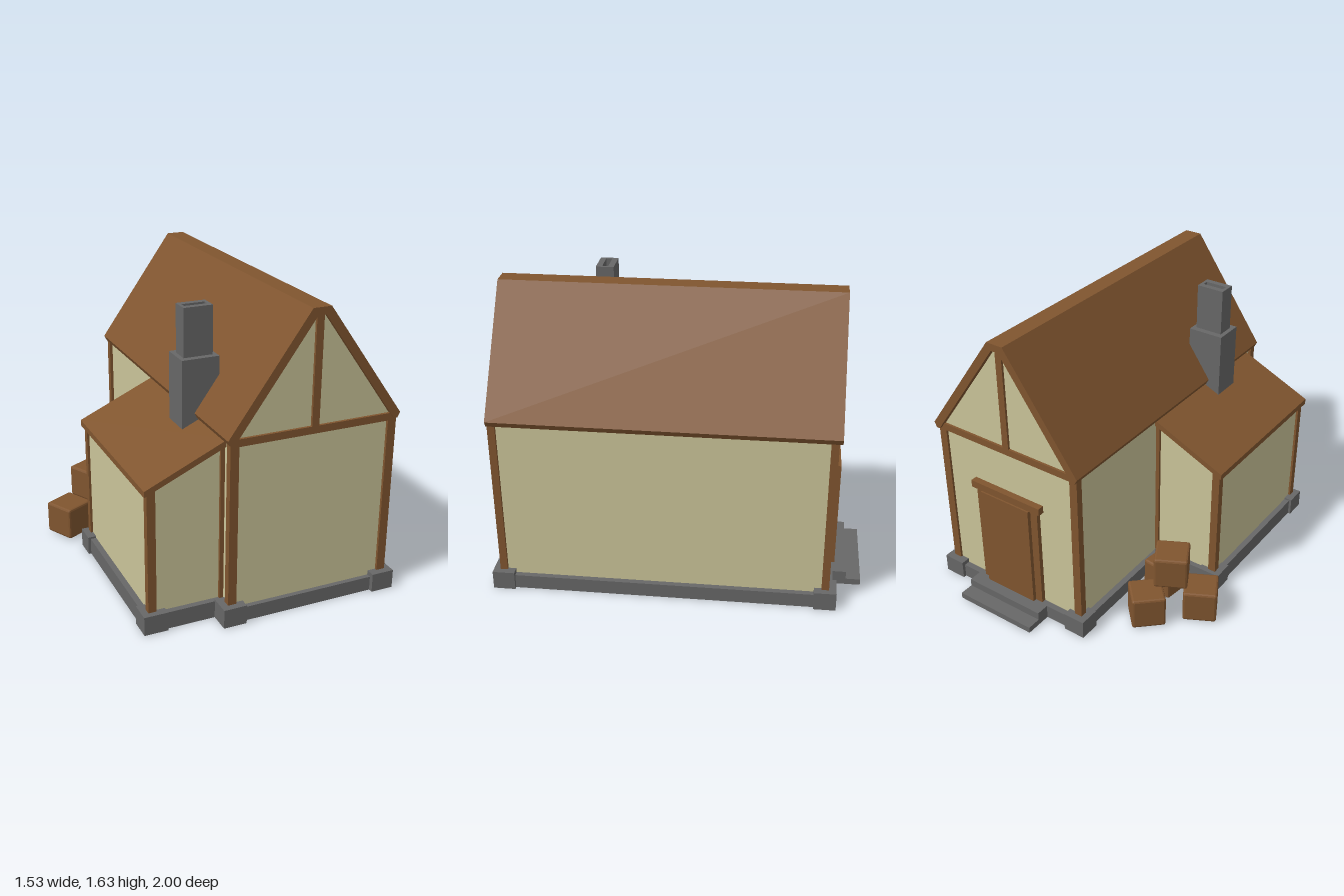
import * as THREE from 'three';
import { RoundedBoxGeometry } from 'three/addons/geometries/RoundedBoxGeometry.js';

const mat = (color) => new THREE.MeshStandardMaterial({ color, flatShading: true });

export function createModel() {
  const house = new THREE.Group();
  house.name = 'cottage';
  const plaster = mat(0xcac499), wood = mat(0x80552f), stone = mat(0x676767);

  const add = (name, geometry, material) => {
    const mesh = new THREE.Mesh(geometry, material);
    mesh.name = name;
    house.add(mesh);
    return mesh;
  };
  // Box given by its limits on each axis
  const box = (name, material, x0, x1, y0, y1, z0, z1) => {
    const mesh = add(name, new THREE.BoxGeometry(x1 - x0, y1 - y0, z1 - z0), material);
    mesh.position.set((x0 + x1) / 2, (y0 + y1) / 2, (z0 + z1) / 2);
    return mesh;
  };
  // Front-view outline pulled from z0 to z1
  const prism = (name, material, points, z0, z1, hole) => {
    const shape = new THREE.Shape(points.map(([x, y]) => new THREE.Vector2(x, y)));
    if (hole) shape.holes.push(new THREE.Path(hole.map(([x, y]) => new THREE.Vector2(x, y))));
    const geometry = new THREE.ExtrudeGeometry(shape, { depth: z1 - z0, bevelEnabled: false });
    geometry.translate(0, 0, z0);
    return add(name, geometry, material);
  };

  // Stone plinths and corner blocks
  box('mainPlinth', stone, -0.225, 0.745, 0, 0.08, -0.845, 0.975);
  box('annexPlinth', stone, -0.625, -0.2, 0, 0.095, -0.105, 0.885);
  for (const x of [-0.245, 0.635])
    for (const z of [-0.863, 0.88]) box('cornerBlock', stone, x, x + 0.128, 0, 0.105, z, z + 0.12);
  for (const z of [-0.115, 0.78]) box('annexCornerBlock', stone, -0.64, -0.51, 0, 0.105, z, z + 0.12);

  // Main walls with gables
  prism('mainWalls', plaster, [
    [-0.19, 0.05], [0.715, 0.05], [0.715, 0.99], [0.287, 1.6], [0.238, 1.6], [-0.19, 0.99],
  ], -0.81, 0.948);

  // Main roof shell with a flat ridge
  prism('mainRoof', wood, [
    [-0.223, 1.02], [-0.208, 0.99], [-0.188, 0.99], [0.24, 1.59], [0.285, 1.59],
    [0.713, 0.99], [0.733, 0.99], [0.748, 1.02], [0.312, 1.63], [0.212, 1.63],
  ], -0.84, 0.968);

  // Timber frame of the main house, alike at both ends
  for (const [z0, z1] of [[0.923, 0.963], [-0.823, -0.783]]) {
    box('cornerPost', wood, -0.207, -0.16, 0.08, 1.0, z0, z1);
    box('cornerPost', wood, 0.682, 0.73, 0.08, 1.0, z0, z1);
    box('tieBeam', wood, -0.19, 0.715, 0.98, 1.02, z0, z1);
    box('kingPost', wood, 0.238, 0.278, 1.0, 1.6, z0, z1);
  }

  // Lean-to annex
  prism('annexWalls', plaster, [
    [-0.592, 0.05], [-0.18, 0.05], [-0.18, 0.96], [-0.592, 0.775],
  ], -0.075, 0.853);
  prism('annexRoof', wood, [
    [-0.622, 0.76], [-0.18, 0.957], [-0.18, 0.992], [-0.622, 0.793],
  ], -0.103, 0.88);
  for (const [z0, z1] of [[0.828, 0.868], [-0.09, -0.05]]) {
    box('annexPost', wood, -0.605, -0.56, 0.08, 0.785, z0, z1);
    box('annexInnerPost', wood, -0.212, -0.18, 0.08, 0.95, z0, z1);
  }

  // Chimney base and hollow stack
  box('chimneyBase', stone, -0.292, -0.086, 0.8, 1.31, 0.4, 0.57);
  const stack = new THREE.Shape([[-0.08, -0.05], [0.08, -0.05], [0.08, 0.05], [-0.08, 0.05]]
    .map(([x, y]) => new THREE.Vector2(x, y)));
  stack.holes.push(new THREE.Path([[-0.062, -0.017], [-0.062, 0.017], [0.062, 0.017], [0.062, -0.017]]
    .map(([x, y]) => new THREE.Vector2(x, y))));
  const stackGeometry = new THREE.ExtrudeGeometry(stack, { depth: 0.27, bevelEnabled: false });
  stackGeometry.rotateX(-Math.PI / 2);
  add('chimneyStack', stackGeometry, stone).position.set(-0.188, 1.3, 0.485);

  // Back door, its frame and steps
  box('door', wood, 0.105, 0.435, 0.08, 0.695, -0.857, -0.8);
  box('doorJamb', wood, 0.06, 0.105, 0.08, 0.7, -0.835, -0.8);
  box('doorJamb', wood, 0.435, 0.48, 0.08, 0.7, -0.835, -0.8);
  box('doorLintel', wood, 0.035, 0.505, 0.695, 0.738, -0.848, -0.8);
  box('upperStep', stone, 0.02, 0.52, 0, 0.08, -0.92, -0.84);
  box('lowerStep', stone, 0.02, 0.52, 0, 0.035, -1.0, -0.84);

  // Stacked crates: x, y, z, turn in degrees
  const crateGeometry = new RoundedBoxGeometry(0.187, 0.187, 0.187, 1, 0.012);
  for (const [x, y, z, turn] of [
    [-0.43, 0.1, -0.525, 43], [-0.65, 0.1, -0.315, 28],
    [-0.375, 0.1, -0.24, -8], [-0.485, 0.288, -0.36, 28],
  ]) {
    const crate = add('crate', crateGeometry, wood);
    crate.position.set(x, y, z);
    crate.rotation.y = THREE.MathUtils.degToRad(turn);
  }
  return house;
}
